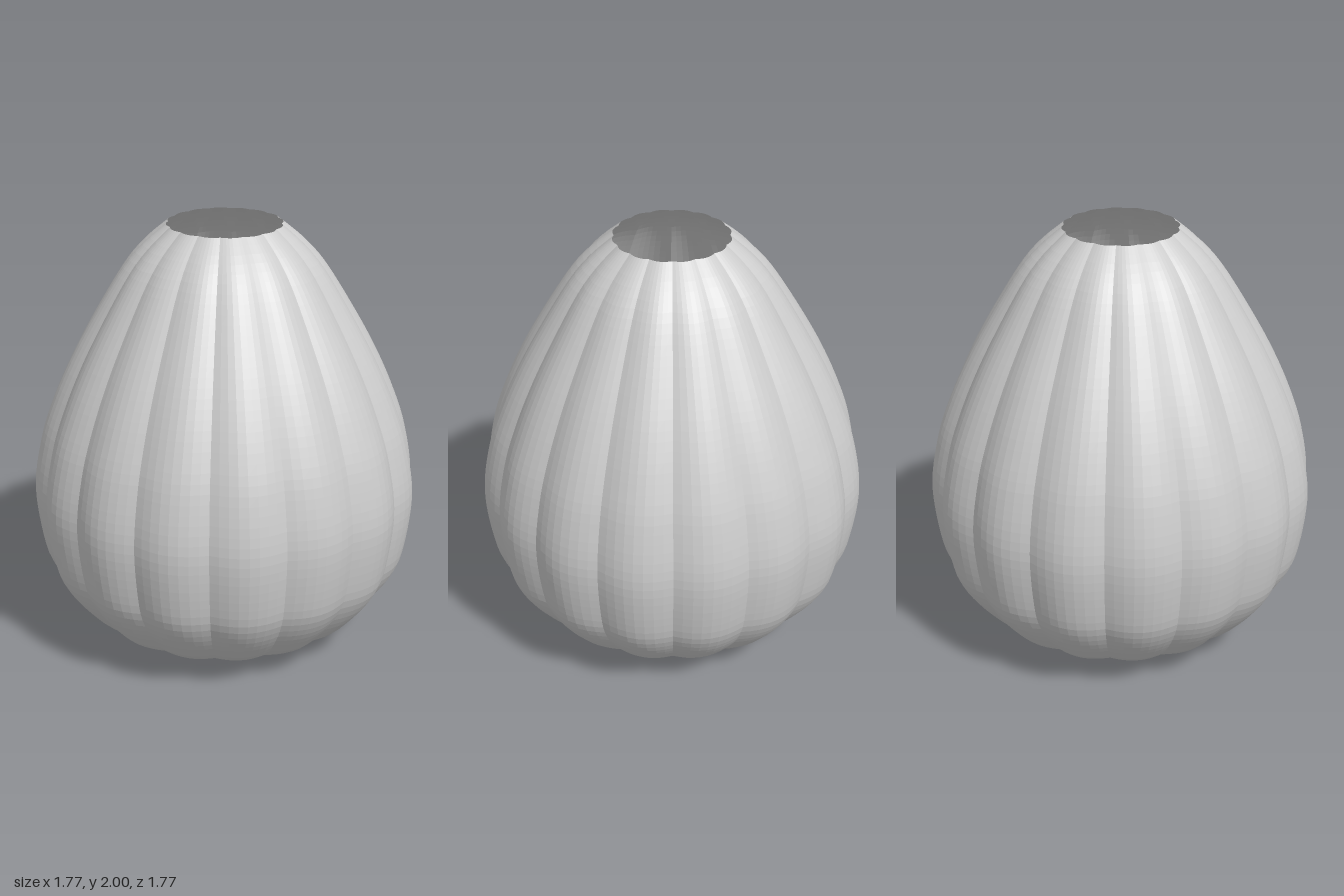
import * as THREE from 'three';

const LOBES = 16;
const SEGS_PER_LOBE = 8;
const ROWS = 56;
const LOBE_DEPTH = 0.04;

// Radius at the grooves, from the bottom opening to the top opening
const PROFILE = [
  [0.24, 0], [0.41, 0.03], [0.585, 0.105], [0.685, 0.2], [0.785, 0.34], [0.835, 0.48],
  [0.863, 0.75], [0.825, 1.0], [0.76, 1.2], [0.672, 1.4], [0.565, 1.6],
  [0.445, 1.8], [0.355, 1.91], [0.254, 2.0],
];

// Scalloped wall: every ring swells between sharp vertical grooves
function scallopedWall() {
  const curve = new THREE.SplineCurve(PROFILE.map(([r, y]) => new THREE.Vector2(r, y)));
  const rings = curve.getSpacedPoints(ROWS);
  const around = LOBES * SEGS_PER_LOBE;
  const positions = [];
  const index = [];
  rings.forEach((p) => {
    for (let i = 0; i < around; i++) {
      const a = (i / around) * Math.PI * 2;
      const r = p.x * (1 + LOBE_DEPTH * Math.abs(Math.sin((a * LOBES) / 2)));
      positions.push(r * Math.sin(a), p.y, r * Math.cos(a));
    }
  });
  for (let j = 0; j < ROWS; j++) {
    for (let i = 0; i < around; i++) {
      const n = (i + 1) % around;
      const a = j * around + i, b = j * around + n;
      const c = a + around, d = b + around;
      index.push(a, b, d, a, d, c);
    }
  }
  const geometry = new THREE.BufferGeometry();
  geometry.setAttribute('position', new THREE.Float32BufferAttribute(positions, 3));
  geometry.setIndex(index);
  geometry.computeVertexNormals();
  return geometry;
}

export function createModel() {
  const group = new THREE.Group();
  group.name = 'lampshade';

  const material = new THREE.MeshStandardMaterial({
    color: 0xcccccc, side: THREE.DoubleSide, flatShading: true,
  });
  material.name = 'light grey';

  // Open shade
  const shade = new THREE.Mesh(scallopedWall(), material);
  shade.name = 'shade';
  group.add(shade);

  // Round bulb hanging in the middle
  const bulb = new THREE.Mesh(new THREE.SphereGeometry(0.12, 32, 24), material);
  bulb.name = 'bulb';
  bulb.position.y = 1.0;
  group.add(bulb);

  return group;
}
